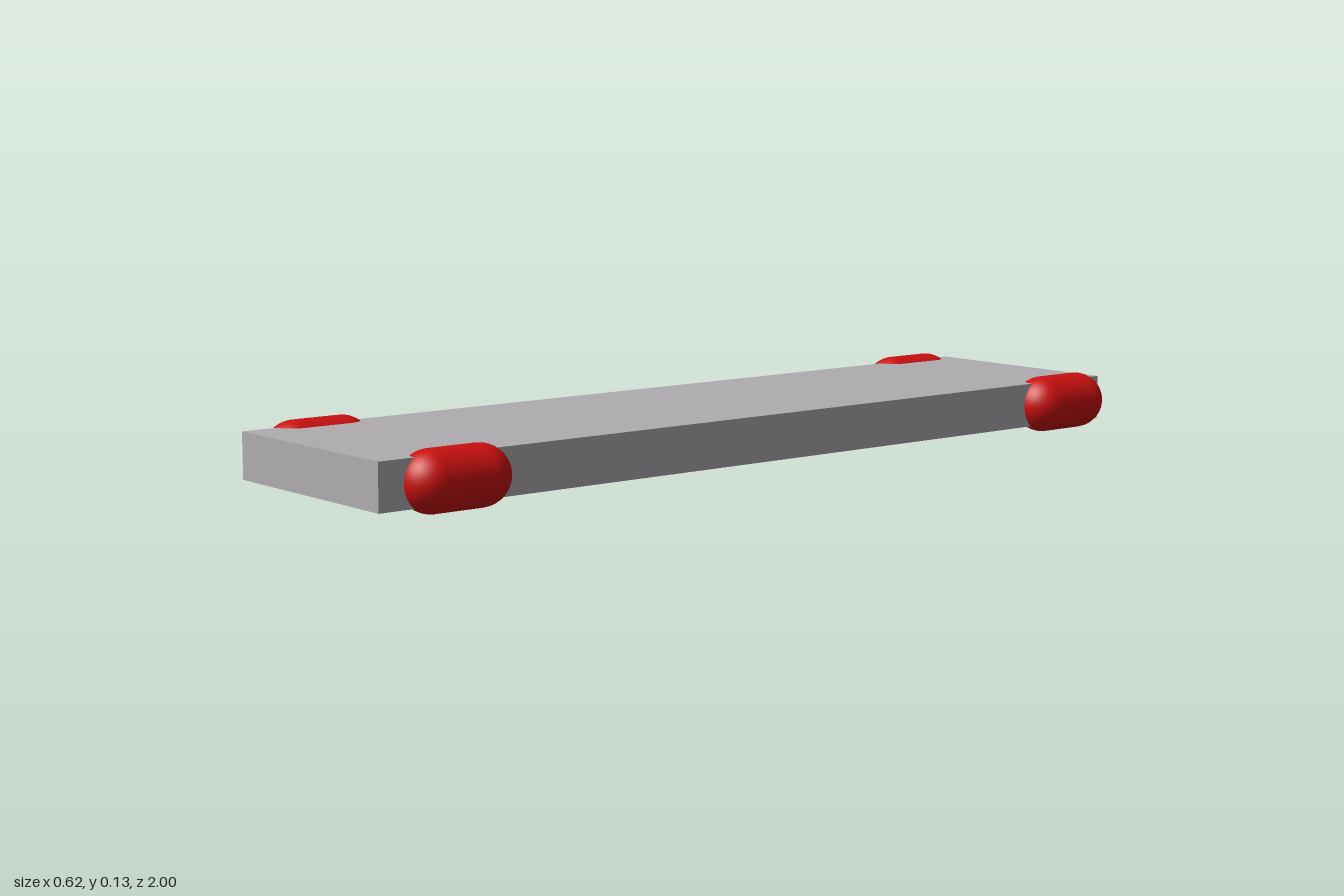
import * as THREE from 'three';

export function createModel() {
  const group = new THREE.Group();
  const grey = new THREE.MeshStandardMaterial({ color: 0xb0acb0 });
  grey.name = 'deck grey';
  const red = new THREE.MeshStandardMaterial({ color: 0xcc1010 });
  red.name = 'roller red';

  const add = (name, geometry, material, x, y, z) => {
    const mesh = new THREE.Mesh(geometry, material);
    mesh.name = name;
    mesh.position.set(x, y, z);
    group.add(mesh);
    return mesh;
  };

  // Flat deck
  add('deck', new THREE.BoxGeometry(0.503, 0.099, 2), grey, 0.002, 0.0655, 0);

  // Four rounded rollers lying along the deck edges
  const roller = new THREE.CapsuleGeometry(0.0635, 0.113, 10, 32).rotateX(Math.PI / 2);
  for (const [end, z] of [['front', 0.823], ['back', -0.872]]) {
    for (const [side, x] of [['Left', 0.248], ['Right', -0.248]]) {
      add(`${end}${side}Roller`, roller, red, x, 0.0645, z);
    }
  }

  // Small stud that just breaks the surface of the front left roller
  add('stud', new THREE.SphereGeometry(0.025, 20, 14), grey, 0.223, 0.102, 0.752);

  return group;
}
